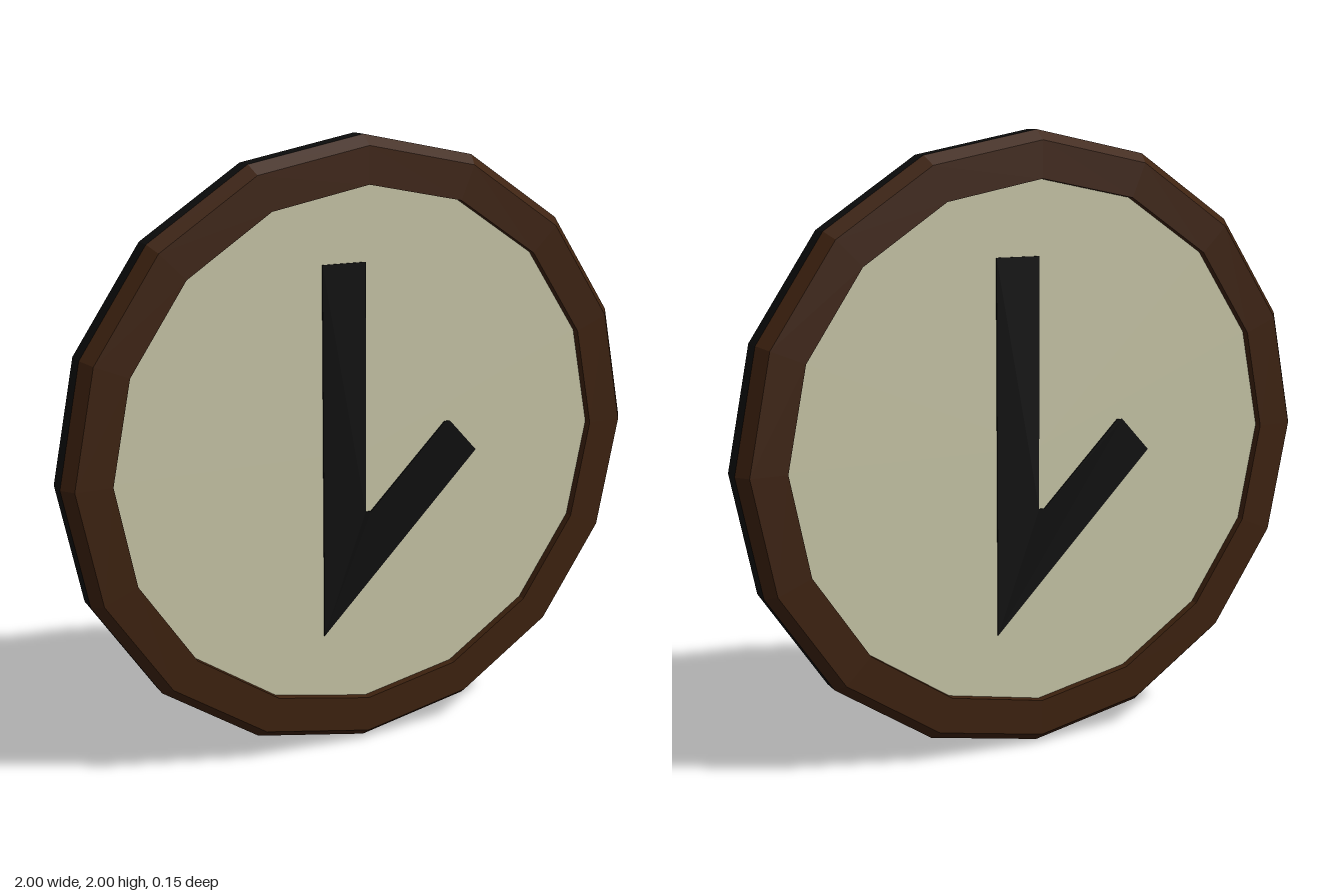
import * as THREE from 'three';

const SIDES = 16;
const flat = (name, color) =>
  new THREE.MeshStandardMaterial({ name, color, flatShading: true });

export function createModel() {
  const wood = flat('dark wood', 0x3e220f);
  const black = flat('black', 0x0d0d0d);
  const cream = flat('cream', 0xc9c7a8);

  const clock = new THREE.Group();
  clock.name = 'clock';

  // Revolves a [radius, depth] profile around the z axis
  const ring = (name, profile, material) => {
    const points = profile.map(([r, z]) => new THREE.Vector2(r, z));
    const mesh = new THREE.Mesh(
      new THREE.LatheGeometry(points, SIDES).rotateX(Math.PI / 2), material);
    mesh.name = name;
    return mesh;
  };

  // Black band around the rim
  clock.add(ring('rimBand', [[1, -0.032], [1, 0.032]], black));

  // Both hands joined in one outline
  const outline = [
    [-0.15, 0.61], [-0.15, -0.61], [0.41, -0.045], [0.31, 0.065], [0.29, 0.065],
    [0.02, -0.205], [0, -0.205], [0, 0.61],
  ].map(([x, y]) => new THREE.Vector2(x, y));
  const handsShape = new THREE.Shape(outline);

  // The same dial on the front and on the back
  ['front', 'back'].forEach((label, i) => {
    const side = new THREE.Group();
    side.name = label + 'Side';
    side.rotation.y = i * Math.PI;

    // Chamfer, flat ring and inner wall
    side.add(ring('frame', [[1, 0.032], [0.968, 0.075], [0.85, 0.075], [0.85, 0.045]], wood));

    const dial = new THREE.Mesh(new THREE.CircleGeometry(0.85, SIDES), cream);
    dial.name = 'dial';
    dial.position.z = 0.048;
    side.add(dial);

    const hands = new THREE.Mesh(
      new THREE.ExtrudeGeometry(handsShape, { depth: 0.004, bevelEnabled: false }), black);
    hands.name = 'hands';
    hands.position.z = 0.048;
    side.add(hands);

    clock.add(side);
  });

  clock.position.y = 1;
  const model = new THREE.Group();
  model.name = 'wallClock';
  model.add(clock);
  return model;
}
